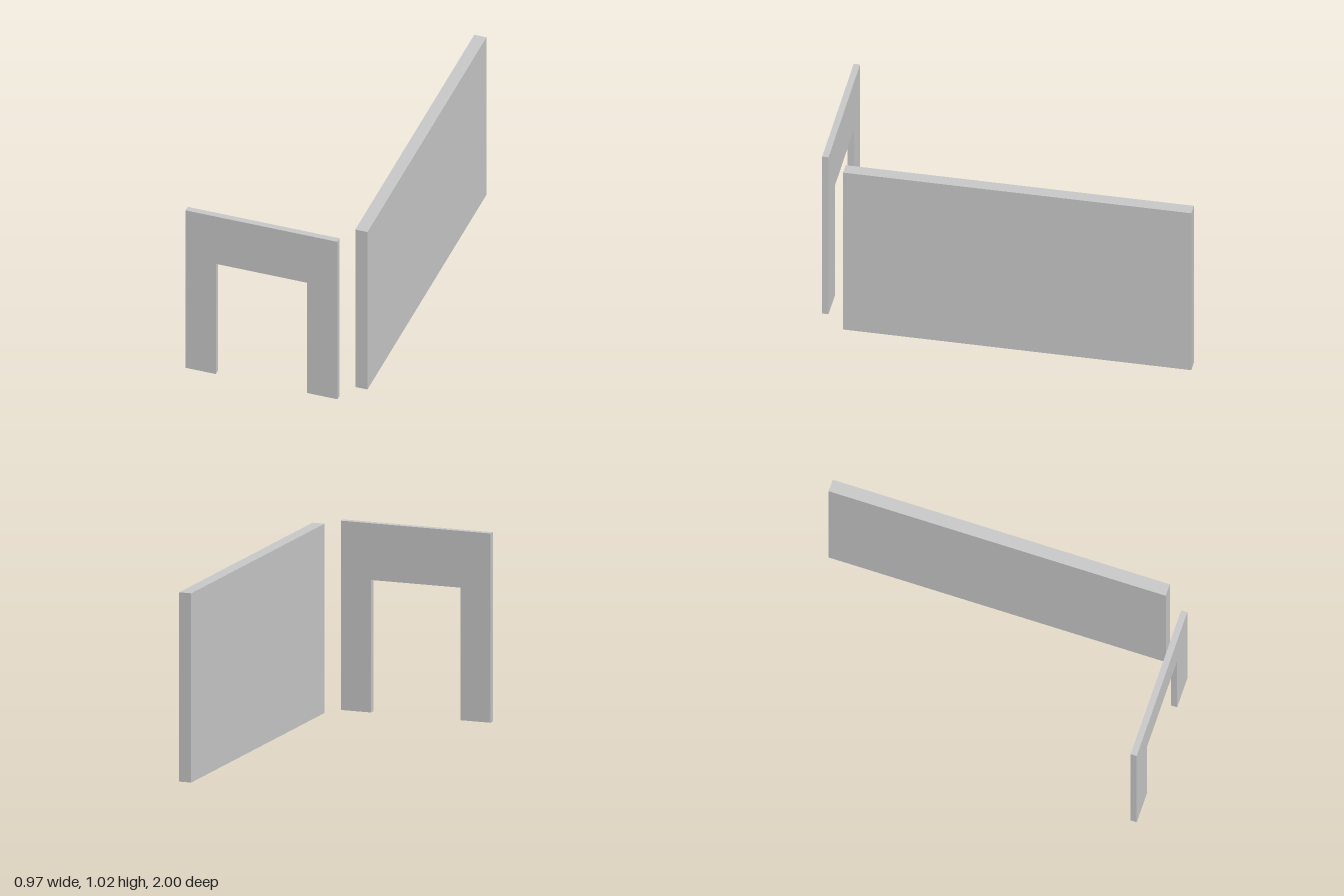
import * as THREE from 'three';

const HEIGHT = 1.017;

export function createModel() {
  const model = new THREE.Group();
  const material = new THREE.MeshStandardMaterial({ color: 0xcccccc, flatShading: true });

  // Front wall: one outline running around the doorway, open at the floor
  const outline = new THREE.Shape([
    [-0.483, 0], [-0.314, 0], [-0.314, 0.712], [0.194, 0.712],
    [0.194, 0], [0.364, 0], [0.364, HEIGHT], [-0.483, HEIGHT],
  ].map(([x, y]) => new THREE.Vector2(x, y)));
  const doorWall = new THREE.Mesh(
    new THREE.ExtrudeGeometry(outline, { depth: 0.034, bevelEnabled: false }),
    material,
  );
  doorWall.name = 'doorwayWall';
  doorWall.position.z = 0.966;
  model.add(doorWall);

  // Long solid side wall, standing apart from the front wall
  const sideWall = new THREE.Mesh(new THREE.BoxGeometry(0.068, HEIGHT, 1.864), material);
  sideWall.name = 'sideWall';
  sideWall.position.set(0.449, HEIGHT / 2, -0.068);
  model.add(sideWall);

  return model;
}
